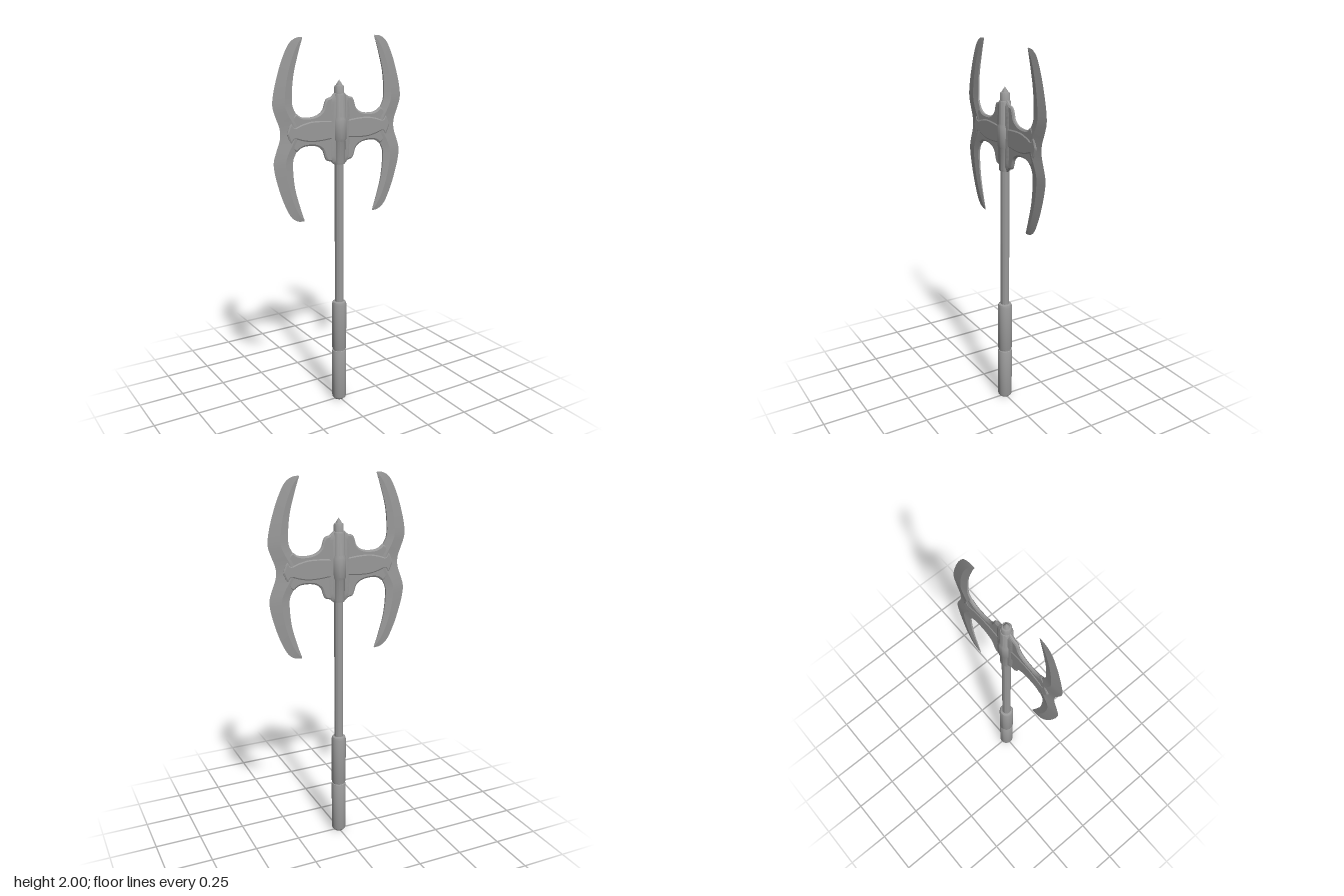
import * as THREE from 'three';
import { mergeVertices, toCreasedNormals } from 'three/addons/utils/BufferGeometryUtils.js';

const MID = 1.5375; // height of the blades' mirror line
const material = new THREE.MeshStandardMaterial({ color: 0x999999 });

function add(parent, name, geometry, crease = 0.5) {
  const mesh = new THREE.Mesh(toCreasedNormals(geometry, crease), material);
  mesh.name = name;
  parent.add(mesh);
  return mesh;
}

// Turned part from [radius, height] pairs, bottom to top
function turned(parent, name, profile) {
  return add(parent, name, new THREE.LatheGeometry(profile.map(p => new THREE.Vector2(...p)), 32));
}

// Bevelled plate, symmetric in x and y, from the upper right outline
function plate(parent, name, outline, halfDepth, bevelDepth, bevelWidth) {
  const pts = new THREE.SplineCurve(outline.map(p => new THREE.Vector2(...p))).getPoints(48);
  const flip = (list, sx, sy) => list.map(p => new THREE.Vector2(p.x * sx, p.y * sy));
  const right = [...pts, ...flip(pts, 1, -1).reverse()];
  const all = [...right, ...flip(right, -1, -1)];
  const unique = all.filter((p, i) => p.distanceTo(all[(i + 1) % all.length]) > 1e-5);
  const geometry = new THREE.ExtrudeGeometry(new THREE.Shape(unique), {
    depth: 2 * (halfDepth - bevelDepth), bevelEnabled: true, bevelSegments: 1,
    bevelSize: bevelWidth, bevelThickness: bevelDepth, bevelOffset: -bevelWidth,
  });
  geometry.translate(0, MID, bevelDepth - halfDepth);
  return add(parent, name, geometry);
}

// Closed skin over rings of equal point count, with end caps
function loft(rings) {
  const n = rings[0].length, index = [];
  for (let i = 0; i < rings.length - 1; i++) {
    for (let j = 0; j < n; j++) {
      const k = (j + 1) % n, a = i * n, b = a + n;
      index.push(a + j, a + k, b + k, a + j, b + k, b + j);
    }
  }
  const last = (rings.length - 1) * n;
  for (let j = 1; j < n - 1; j++) {
    index.push(0, j + 1, j, last, last + j, last + j + 1);
  }
  const geometry = new THREE.BufferGeometry();
  geometry.setAttribute('position', new THREE.Float32BufferAttribute(rings.flat(2), 3));
  geometry.setIndex(index);
  return mergeVertices(geometry);
}

// Double crescent: sharp outer edge, central ridge, narrow inner edge
function crescentGeometry() {
  // outer x, outer y, inner x, inner y, half thickness (y from the mirror line)
  const upper = [
    [0.211, 0.4625, 0.208, 0.457, 0.001],
    [0.245, 0.458, 0.222, 0.42, 0.004],
    [0.28, 0.435, 0.238, 0.37, 0.006],
    [0.317, 0.37, 0.253, 0.32, 0.008],
    [0.35, 0.28, 0.264, 0.27, 0.009],
    [0.374, 0.185, 0.272, 0.19, 0.01],
    [0.377, 0.135, 0.27, 0.135, 0.0105],
    [0.36, 0.08, 0.252, 0.097, 0.011],
    [0.343, 0.035, 0.22, 0.05, 0.0115],
    [0.338, 0, 0.2, 0, 0.0115],
  ];
  const lower = upper.slice(0, -1).reverse().map(([a, b, c, d, t]) => [a, -b, c, -d, t]);
  const stations = [...upper, ...lower];
  const curve = pick => new THREE.CatmullRomCurve3(stations.map(pick), false, 'centripetal');
  const outer = curve(s => new THREE.Vector3(s[0], s[1], 0));
  const inner = curve(s => new THREE.Vector3(s[2], s[3], s[4]));
  const rings = [];
  const steps = (stations.length - 1) * 4;
  for (let i = 0; i <= steps; i++) {
    const o = outer.getPoint(i / steps), n = inner.getPoint(i / steps), t = n.z;
    const at = (f, z) => [o.x + (n.x - o.x) * f, MID + o.y + (n.y - o.y) * f, z];
    rings.push([at(0, 0), at(0.6, t), at(1, t * 0.45), at(1, -t * 0.45), at(0.6, -t)]);
  }
  return loft(rings);
}

export function createModel() {
  const model = new THREE.Group();
  model.name = 'doubleAxe';

  // Handle
  turned(model, 'shaft', [[0, 0.3], [0.0235, 0.3], [0.0235, 1.45], [0, 1.45]]);
  turned(model, 'grip', [
    [0, 0.003], [0.03, 0.003], [0.037, 0.01], [0.0395, 0.02], [0.0395, 0.292], [0.037, 0.299],
    [0.033, 0.301], [0.033, 0.306], [0.037, 0.308], [0.0395, 0.316],
    [0.0395, 0.575], [0.035, 0.588], [0.023, 0.592],
  ]);
  turned(model, 'pommel', [[0, 0], [0.028, 0], [0.031, 0.004], [0, 0.006]]);

  // Socket around the shaft, with its pointed cap
  turned(model, 'socket', [
    [0.02, 1.355], [0.029, 1.357], [0.031, 1.365], [0.032, 1.475], [0.038, 1.488],
    [0.038, 1.587], [0.032, 1.6], [0.031, 1.71], [0.028, 1.717], [0.02, 1.72],
  ]);
  turned(model, 'capSpike', [
    [0, 1.68], [0.025, 1.68], [0.025, 1.752], [0.022, 1.758], [0.016, 1.76], [0.014, 1.766], [0, 1.787],
  ]);

  // Axe head: winged plate, fillet at the socket, raised band with arrow ends, two crescents
  const head = new THREE.Group();
  head.name = 'axeHead';
  model.add(head);
  plate(head, 'headPlate', [
    [0, 0.185], [0.026, 0.184], [0.05, 0.165], [0.075, 0.157], [0.087, 0.135], [0.097, 0.105],
    [0.12, 0.084], [0.155, 0.073], [0.2, 0.072], [0.228, 0.08], [0.252, 0.095], [0.275, 0.07], [0.28, 0],
  ], 0.0095, 0.005, 0.008);
  plate(head, 'socketFillet', [
    [0, 0.178], [0.026, 0.176], [0.046, 0.16], [0.056, 0.13], [0.06, 0],
  ], 0.0155, 0.007, 0.018);
  plate(head, 'raisedBand', [
    [0, 0.048], [0.05, 0.047], [0.11, 0.052], [0.17, 0.052], [0.22, 0.042],
    [0.262, 0.03], [0.282, 0.05], [0.304, 0.004],
  ], 0.013, 0.004, 0.007);
  const blade = crescentGeometry();
  add(head, 'leftCrescent', blade, 0.25);
  add(head, 'rightCrescent', blade, 0.25).rotation.y = Math.PI;

  return model;
}
